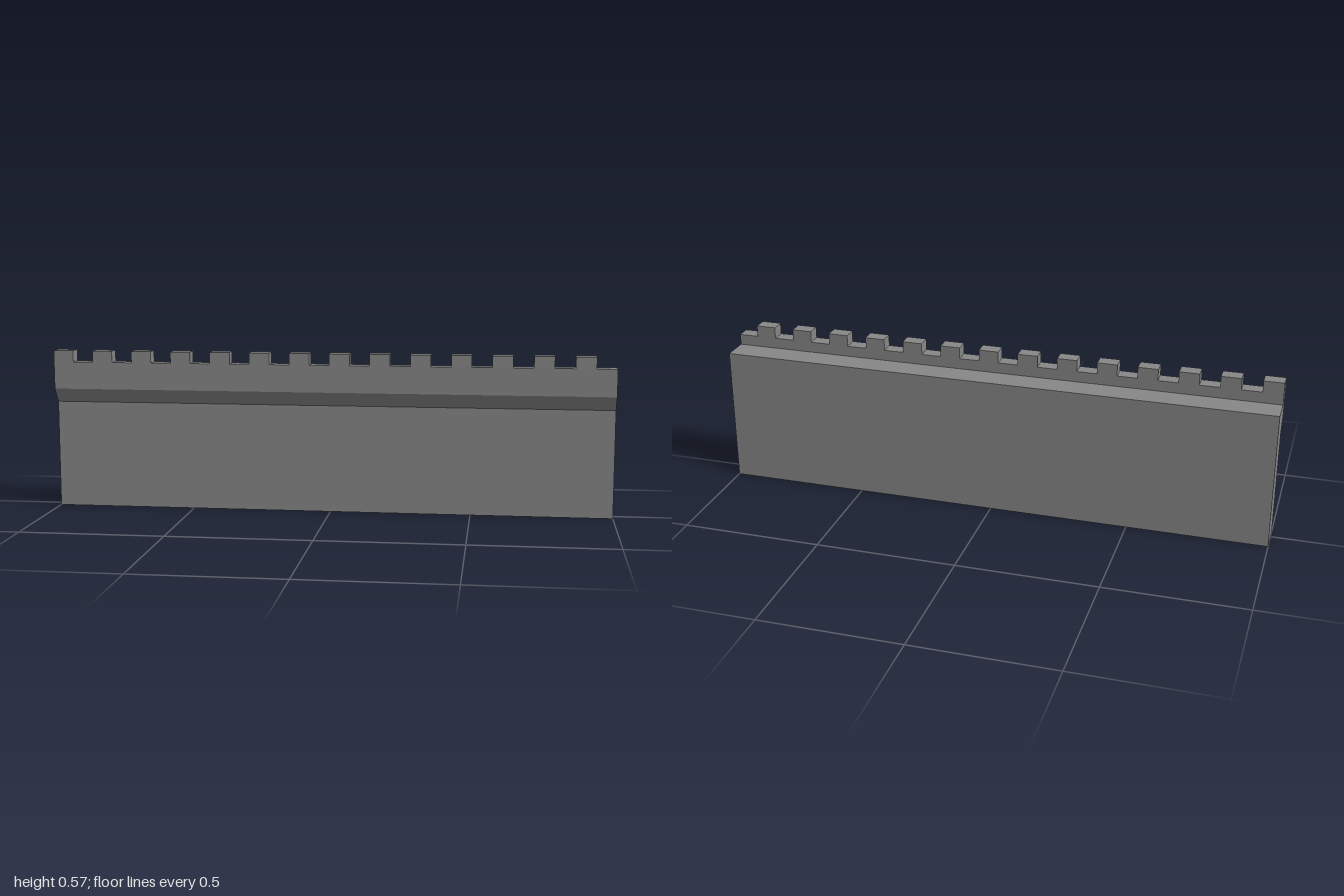
import * as THREE from 'three';

const LENGTH = 2;
const MERLONS = 14;
const PARAPET_TOP = 0.532;
const MERLON_TOP = 0.573;
const PARAPET_FRONT = 0.075;
const PARAPET_BACK = 0.024;

export function createModel() {
  const group = new THREE.Group();
  group.name = 'battlementWall';
  const material = new THREE.MeshStandardMaterial({ color: 0x888888, flatShading: true });

  // Wall with corbelled parapet and rear walkway: cross-section as (z, y), swept along x
  const profile = new THREE.Shape([
    [-0.074, 0], [0.039, 0], [0.039, 0.384], [PARAPET_FRONT, 0.435],
    [PARAPET_FRONT, PARAPET_TOP], [PARAPET_BACK, PARAPET_TOP],
    [PARAPET_BACK, 0.493], [-0.074, 0.493],
  ].map(([z, y]) => new THREE.Vector2(z, y)));
  const wallGeometry = new THREE.ExtrudeGeometry(profile, { depth: LENGTH, bevelEnabled: false });
  wallGeometry.translate(0, 0, -LENGTH / 2).rotateY(-Math.PI / 2);
  const wall = new THREE.Mesh(wallGeometry, material);
  wall.name = 'wall';
  group.add(wall);

  // Merlons: equal teeth and gaps, starting with a tooth at the -x end
  const merlons = new THREE.Group();
  merlons.name = 'merlons';
  const width = LENGTH / (MERLONS * 2);
  const merlonGeometry = new THREE.BoxGeometry(
    width, MERLON_TOP - PARAPET_TOP, PARAPET_FRONT - PARAPET_BACK);
  for (let i = 0; i < MERLONS; i++) {
    const merlon = new THREE.Mesh(merlonGeometry, material);
    merlon.name = `merlon${i + 1}`;
    merlon.position.set(
      -LENGTH / 2 + (2 * i + 0.5) * width,
      (MERLON_TOP + PARAPET_TOP) / 2,
      (PARAPET_FRONT + PARAPET_BACK) / 2);
    merlons.add(merlon);
  }
  group.add(merlons);

  return group;
}
